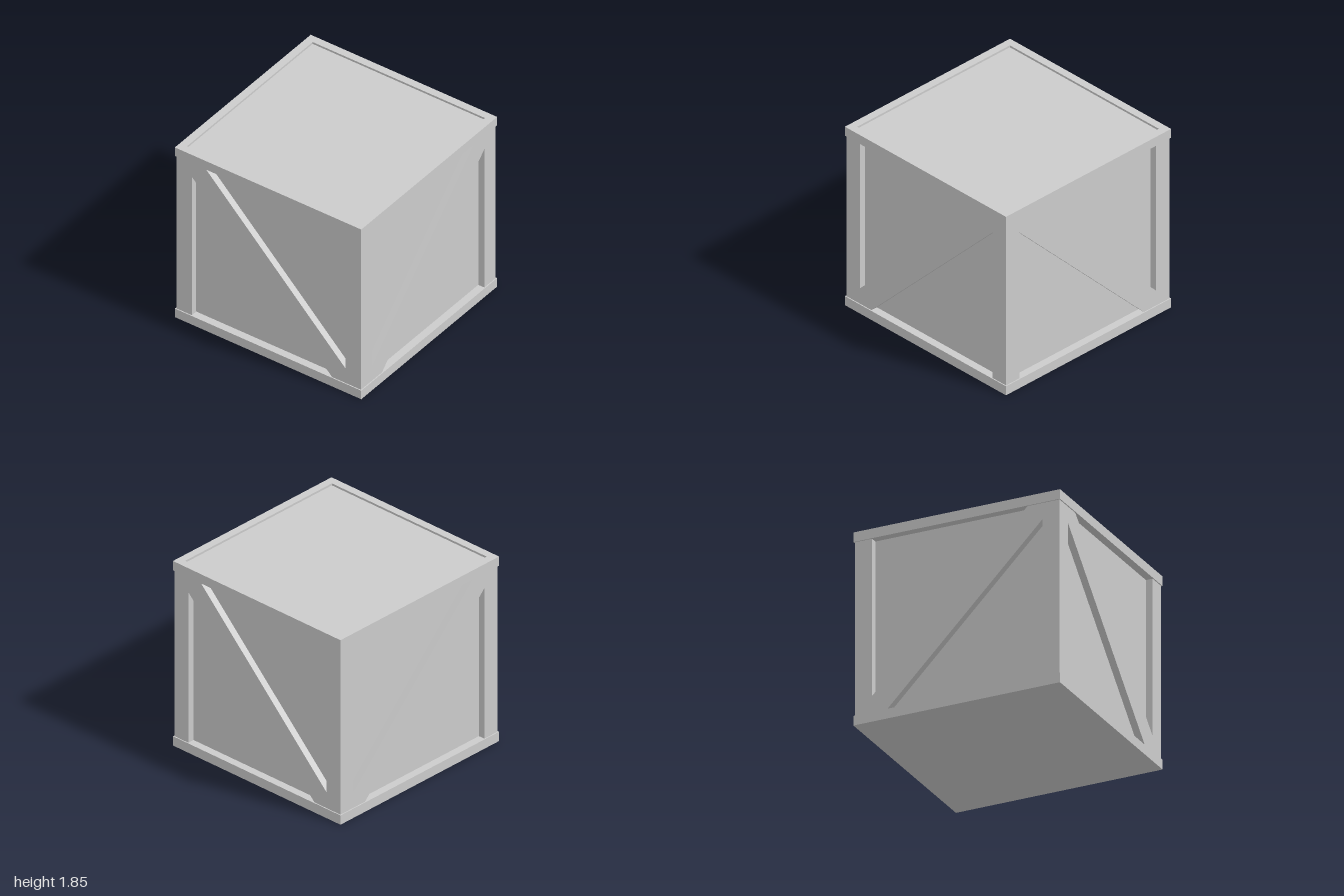
import * as THREE from 'three';

const OUT = 0.99;    // outer face of posts and braces
const INNER = 0.925; // face of the recessed panels
const POST = 0.825;  // inner edge of the posts
const LOW = 0.093, HIGH = 1.755, TOP = 1.847;

const material = new THREE.MeshStandardMaterial({ color: 0xcccccc, flatShading: true });

function add(parent, name, geometry, x = 0, y = 0, z = 0) {
  const mesh = new THREE.Mesh(geometry, material);
  mesh.name = name;
  mesh.position.set(x, y, z);
  parent.add(mesh);
  return mesh;
}

function square(half, Type) {
  return new Type([[-half, -half], [half, -half], [half, half], [-half, half]]
    .map(([x, y]) => new THREE.Vector2(x, y)));
}

// Diagonal board with ends cut to fit the corner; dir flips its slope
function braceGeometry(dir) {
  const points = [
    [-POST, LOW], [-0.68, LOW], [POST, 1.6],
    [POST, HIGH], [0.68, HIGH], [-POST, 0.25],
  ].map(([x, y]) => new THREE.Vector2(dir * x, y));
  return new THREE.ExtrudeGeometry(new THREE.Shape(points), { depth: OUT - INNER, bevelEnabled: false });
}

export function createModel() {
  const crate = new THREE.Group();
  crate.name = 'crate';

  // Bottom slab and the recessed panels of the body
  add(crate, 'base', new THREE.BoxGeometry(2, LOW, 2), 0, LOW / 2, 0);
  const bodyTop = TOP - 0.02;
  add(crate, 'panels', new THREE.BoxGeometry(2 * INNER, bodyTop - LOW, 2 * INNER), 0, (bodyTop + LOW) / 2, 0);

  // Raised rim around the lid
  const rim = square(1, THREE.Shape);
  rim.holes.push(square(INNER, THREE.Path));
  const rimGeometry = new THREE.ExtrudeGeometry(rim, { depth: TOP - HIGH, bevelEnabled: false });
  rimGeometry.rotateX(-Math.PI / 2);
  add(crate, 'topRim', rimGeometry, 0, HIGH, 0);

  // Corner posts
  const width = OUT - POST, mid = (OUT + POST) / 2;
  const postGeometry = new THREE.BoxGeometry(width, HIGH - LOW, width);
  for (const sx of [-1, 1]) {
    for (const sz of [-1, 1]) add(crate, 'cornerPost', postGeometry, sx * mid, (HIGH + LOW) / 2, sz * mid);
  }

  // One diagonal brace per side, slopes alternating around the crate
  ['front', 'left', 'back', 'right'].forEach((name, i) => {
    const side = new THREE.Group();
    side.name = name + 'Side';
    side.rotation.y = i * Math.PI / 2;
    add(side, name + 'Brace', braceGeometry(i % 2 ? -1 : 1), 0, 0, INNER);
    crate.add(side);
  });

  return crate;
}
